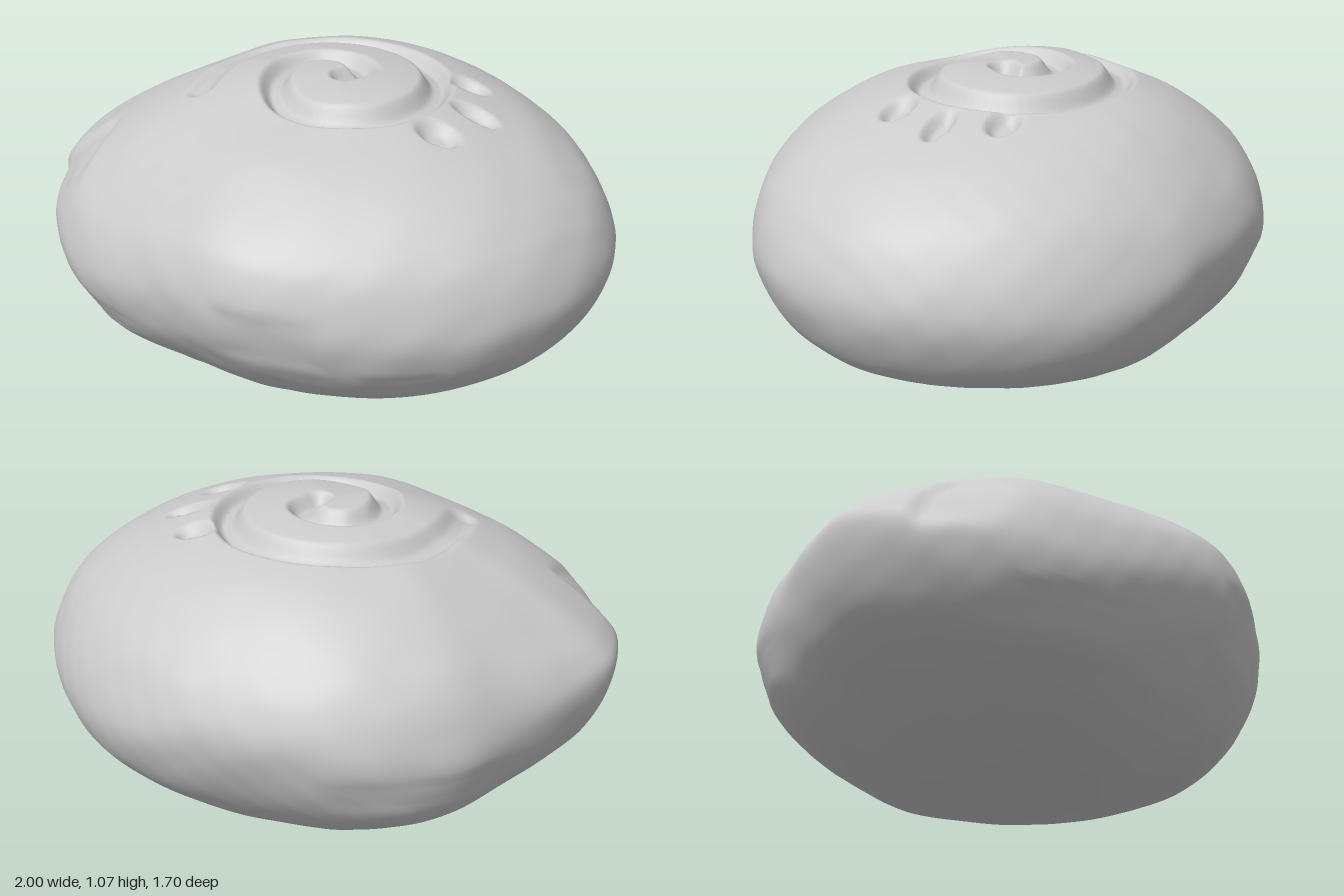
import * as THREE from 'three';

// Plan outline (x, z), counter-clockwise seen from above, starting at the right tip
const OUTLINE = [
  [1, 0], [0.965, -0.23], [0.875, -0.41], [0.735, -0.585], [0.53, -0.74], [0.3, -0.83], [0.12, -0.85], [-0.18, -0.84],
  [-0.33, -0.81], [-0.5, -0.73], [-0.65, -0.61], [-0.77, -0.44], [-0.9, -0.25], [-0.99, -0.06], [-0.99, 0.06],
  [-0.955, 0.24], [-0.865, 0.435], [-0.735, 0.575], [-0.54, 0.69], [-0.24, 0.79], [0, 0.845], [0.2, 0.825],
  [0.43, 0.75], [0.63, 0.64], [0.82, 0.47], [0.945, 0.26],
];
// Meridians from crown to base: shared fraction of the outline, then heights for
// eight directions: right, front right, front, front left, left, back left, back, back right
const SPREAD = [0, 0.2, 0.4, 0.6, 0.75, 0.88, 0.96, 1, 0.97, 0.89, 0.76, 0.6, 0.4, 0.2, 0];
const HEIGHTS = [
  [1.07, 1.06, 1.02, 0.95, 0.88, 0.78, 0.67, 0.54, 0.41, 0.28, 0.19, 0.13, 0.07, 0.02, 0],
  [1.07, 1.06, 1.02, 0.96, 0.89, 0.79, 0.68, 0.53, 0.4, 0.285, 0.185, 0.12, 0.055, 0.015, 0],
  [1.07, 1.05, 1.01, 0.96, 0.89, 0.81, 0.73, 0.6, 0.46, 0.34, 0.21, 0.11, 0.04, 0.01, 0],
  [1.07, 1.06, 1.01, 0.93, 0.84, 0.73, 0.62, 0.48, 0.36, 0.25, 0.16, 0.095, 0.04, 0.01, 0],
  [1.07, 1.06, 1.015, 0.92, 0.835, 0.745, 0.68, 0.61, 0.47, 0.335, 0.235, 0.155, 0.075, 0.02, 0],
  [1.07, 1.06, 1.025, 0.96, 0.88, 0.775, 0.66, 0.51, 0.38, 0.26, 0.17, 0.105, 0.045, 0.01, 0],
  [1.07, 1.06, 1.03, 0.98, 0.9, 0.79, 0.69, 0.58, 0.45, 0.31, 0.18, 0.09, 0.03, 0.01, 0],
  [1.07, 1.06, 1.025, 0.965, 0.885, 0.775, 0.65, 0.5, 0.38, 0.275, 0.185, 0.12, 0.055, 0.015, 0],
];

// Centre line of the carved spiral (x, z)
const SPIRAL = [
  [-0.41, 0.17], [-0.41, 0], [-0.34, -0.19], [-0.2, -0.31], [0, -0.36], [0.19, -0.31], [0.31, -0.18], [0.345, 0],
  [0.27, 0.17], [0.08, 0.26], [-0.07, 0.22], [-0.16, 0.1], [-0.17, -0.03], [-0.1, -0.12], [0.01, -0.13],
  [0.08, -0.07], [0.05, 0],
];
// Oval dents beside the spiral: x, z, half length, half width
const DENTS = [[0.4, -0.24, 0.08, 0.055], [0.5, -0.06, 0.09, 0.045], [0.45, 0.14, 0.08, 0.06]];
// Shallow chips in the flanks: centre, half sizes, depth
const CHIPS = [
  [[0.17, 0.5, 0.8], [0.18, 0.1, 0.25], 0.01],
  [[-0.4, 0.15, 0.5], [0.24, 0.05, 0.25], 0.008],
  [[-0.6, 0.32, 0.55], [0.2, 0.05, 0.2], 0.006],
  [[0.55, 0.32, 0.6], [0.12, 0.06, 0.25], 0.007],
  [[0.78, 0.17, 0.1], [0.09, 0.04, 0.25], 0.014],
  [[-0.5, 0.4, -0.7], [0.25, 0.06, 0.2], 0.005],
];

const COLUMNS = 260, CROWN_RINGS = 78, FLANK_RINGS = 70;
const soft = THREE.MathUtils.smoothstep;

const spiralPoints = new THREE.CatmullRomCurve3(
  SPIRAL.map(([x, z]) => new THREE.Vector3(x, 0, z))).getSpacedPoints(240);

// Depth of the carving below the smooth crown; the groove starts shallow
function carving(x, z) {
  if (Math.hypot(x, z) > 0.7) return 0;
  let depth = 0;
  spiralPoints.forEach((p, i) => {
    const full = 0.024 + 0.026 * soft(i, 0, 60);
    const d = Math.hypot(x - p.x, z - p.z);
    if (d < 0.062) depth = Math.max(depth, full * (1 - soft(d, 0.012, 0.062)));
  });
  for (const [dx, dz, a, b] of DENTS) {
    const d = Math.hypot((x - dx) / a, (z - dz) / b);
    depth = Math.max(depth, 0.04 * (1 - soft(d, 0.4, 1.1)));
  }
  return depth;
}

// Inward scale that gives worn unevenness, chips and a broken edge
function wear(p) {
  let inset = 0.002 * Math.sin(7 * p.x + 3 * p.y) * Math.sin(6 * p.z - 5 * p.y)
    + 0.002 * Math.sin(17 * p.x - 9 * p.z) * Math.sin(19 * p.y + 6 * p.z)
    + 0.001 * Math.sin(31 * p.x + 23 * p.z) * Math.sin(37 * p.y - 13 * p.x);
  for (const [c, h, depth] of CHIPS) {
    const d = Math.max(Math.abs(p.x - c[0]) / h[0], Math.abs(p.y - c[1]) / h[1], Math.abs(p.z - c[2]) / h[2]);
    inset += depth * (1 - soft(d, 0.65, 1.2));
  }
  // Flake missing from the front of the left-hand tip
  inset += 0.026 * soft(p.z, 0.19, 0.23) * (1 - soft(p.z, 0.33, 0.52))
    * (1 - soft(p.x, -0.77, -0.71)) * soft(p.y, 0.52, 0.64);
  return inset;
}

function shapePoint(p, onCrown) {
  if (onCrown) p.y -= carving(p.x, p.z);
  // Wear fades out at the crown and the base
  const k = 1 - wear(p) * soft(Math.hypot(p.x, p.z), 0.3, 0.65);
  return p.set(p.x * k, 0.55 + (p.y - 0.55) * k, p.z * k);
}

// Meridian through an outline point, blended from the two nearest directions
function meridian(edge) {
  const sector = (Math.atan2(edge.z, edge.x) / (Math.PI / 4) + 8) % 8;
  const k = Math.floor(sector), blend = (1 - Math.cos((sector - k) * Math.PI)) / 2;
  return new THREE.CatmullRomCurve3(SPREAD.map((t, i) => {
    const y = THREE.MathUtils.lerp(HEIGHTS[k][i], HEIGHTS[(k + 1) % 8][i], blend);
    return new THREE.Vector3(edge.x * t, y, edge.z * t);
  }), false, 'catmullrom', 0.5);
}

function stoneGeometry() {
  const outline = new THREE.CatmullRomCurve3(OUTLINE.map(([x, z]) => new THREE.Vector3(x, 0, z)), true);
  const edges = outline.getSpacedPoints(COLUMNS).slice(0, COLUMNS);
  const curves = edges.map(meridian);
  const rings = CROWN_RINGS + FLANK_RINGS, crownEnd = 3.2 / 14;
  const positions = [], index = [];
  const add = (p) => positions.push(p.x, p.y, p.z);

  add(shapePoint(new THREE.Vector3(0, 1.07, 0), true));
  for (let i = 1; i < rings; i++) {
    const u = i < CROWN_RINGS ? crownEnd * i / CROWN_RINGS
      : crownEnd + (1 - crownEnd) * (i - CROWN_RINGS) / FLANK_RINGS;
    for (const curve of curves) add(shapePoint(curve.getPoint(u), u < 0.35));
  }
  add(new THREE.Vector3(0, 0, 0));

  const at = (i, j) => 1 + (i - 1) * COLUMNS + (j % COLUMNS);
  const last = positions.length / 3 - 1;
  for (let j = 0; j < COLUMNS; j++) {
    index.push(0, at(1, j), at(1, j + 1));
    for (let i = 1; i < rings - 1; i++) {
      const a = at(i, j), b = at(i + 1, j), c = at(i + 1, j + 1), d = at(i, j + 1);
      index.push(a, b, c, a, c, d);
    }
    index.push(at(rings - 1, j), last, at(rings - 1, j + 1));
  }
  const geometry = new THREE.BufferGeometry();
  geometry.setAttribute('position', new THREE.Float32BufferAttribute(positions, 3));
  geometry.setIndex(index);
  geometry.computeVertexNormals();
  return geometry;
}

export function createModel() {
  const group = new THREE.Group();
  group.name = 'carvedStone';
  const stone = new THREE.MeshStandardMaterial({ color: 0xcccccc });
  stone.name = 'stone grey';
  const body = new THREE.Mesh(stoneGeometry(), stone);
  body.name = 'stoneWithSpiralCarving';
  group.add(body);
  return group;
}
